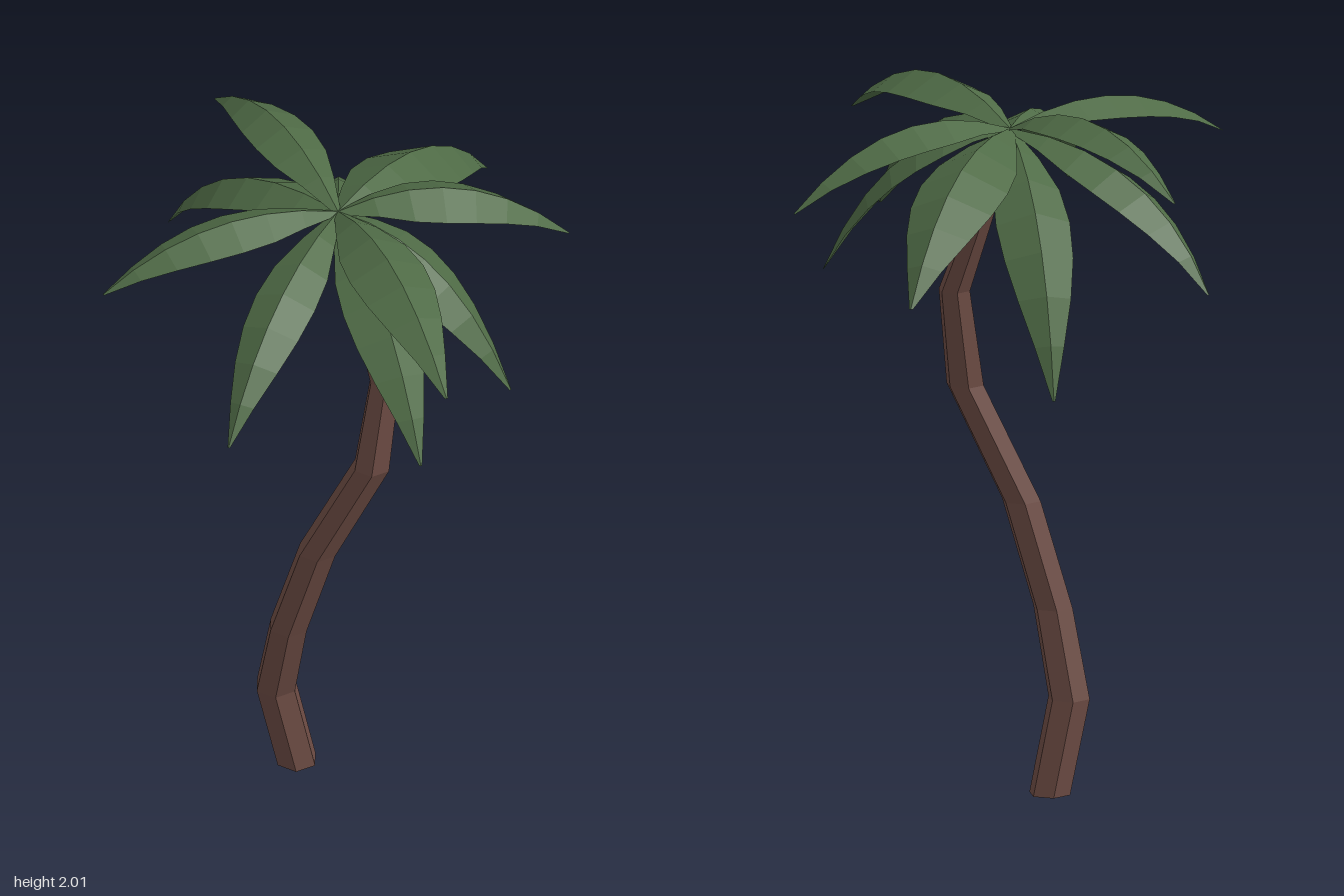
import * as THREE from 'three';

const bark = new THREE.MeshStandardMaterial({ name: 'bark brown', color: 0x6d4c44, flatShading: true });
const leaf = new THREE.MeshStandardMaterial({ name: 'leaf green', color: 0x4f6b46, flatShading: true, side: THREE.DoubleSide });

// Trunk rings from the ground up: x, y, z, radius
const RINGS = [
  [-0.108, 0, 0.042, 0.06],
  [-0.16, 0.27, 0.068, 0.061],
  [-0.112, 0.52, 0.108, 0.058],
  [-0.022, 0.82, 0.13, 0.057],
  [0.135, 1.15, 0.127, 0.055],
  [0.162, 1.43, 0.088, 0.046],
  [0, 1.91, 0.005, 0.03],
];

// Fronds: tip x, y, z, then reach and height of the bend, then half width
const FRONDS = [
  [0.22, 1.58, -0.73, 0.62, 1.98, 0.13],
  [-0.17, 1.29, -0.6, 0.8, 1.84, 0.105],
  [-0.5, 1.84, -0.5, 0.52, 2.13, 0.09],
  [-0.58, 1.53, -0.31, 0.72, 1.92, 0.1],
  [-0.56, 1.82, 0.42, 0.55, 2.06, 0.09],
  [-0.11, 1.6, 0.72, 0.65, 1.97, 0.09],
  [0.49, 1.82, 0.61, 0.55, 2.13, 0.11],
  [0.41, 1.55, 0.59, 0.65, 1.96, 0.1],
  [0.53, 1.48, 0.1, 0.65, 1.93, 0.1],
  [0.58, 1.74, -0.31, 0.55, 2.06, 0.1],
];
const CROWN = new THREE.Vector3(0, 1.92, 0);
const WIDTHS = [0.12, 0.55, 0.9, 1, 0.93, 0.72, 0.4, 0.04];

// Six-sided trunk: level rings of a cylinder shifted along the bent path
function makeTrunk() {
  const n = RINGS.length - 1;
  const geo = new THREE.CylinderGeometry(1, 1, n, 6, n, false, Math.PI / 12);
  const p = geo.attributes.position;
  for (let i = 0; i < p.count; i++) {
    const [x, y, z, r] = RINGS[Math.round(p.getY(i) + n / 2)];
    p.setXYZ(i, x + p.getX(i) * r, y, z + p.getZ(i) * r);
  }
  geo.computeVertexNormals();
  const mesh = new THREE.Mesh(geo, bark);
  mesh.name = 'trunk';
  return mesh;
}

// Frond: roof-folded blade swept along an arching curve
function makeFrond([x, y, z, reach, bendY, half]) {
  const curve = new THREE.QuadraticBezierCurve3(
    CROWN, new THREE.Vector3(x * reach, bendY, z * reach), new THREE.Vector3(x, y, z));
  const side = new THREE.Vector3(-z, 0, x).normalize();
  const verts = [], index = [];
  WIDTHS.forEach((w, i) => {
    const t = i / (WIDTHS.length - 1);
    const mid = curve.getPoint(t);
    const down = new THREE.Vector3().crossVectors(curve.getTangent(t), side).normalize();
    if (down.y > 0) down.negate();
    for (const s of [-1, 0, 1]) {
      const v = mid.clone().addScaledVector(side, s * w * half);
      v.addScaledVector(down, Math.abs(s) * w * half * 0.5);
      verts.push(v.x, v.y, v.z);
    }
    if (i === 0) return;
    for (const k of [0, 1]) {
      const a = (i - 1) * 3 + k, b = a + 3;
      index.push(a, a + 1, b, a + 1, b + 1, b);
    }
  });
  const geo = new THREE.BufferGeometry();
  geo.setAttribute('position', new THREE.Float32BufferAttribute(verts, 3));
  geo.setIndex(index);
  geo.computeVertexNormals();
  const mesh = new THREE.Mesh(geo, leaf);
  mesh.name = 'frond';
  return mesh;
}

export function createModel() {
  const model = new THREE.Group();
  model.name = 'palmTree';
  const crown = new THREE.Group();
  crown.name = 'crown';
  FRONDS.forEach((f) => crown.add(makeFrond(f)));
  model.add(makeTrunk(), crown);
  return model;
}
